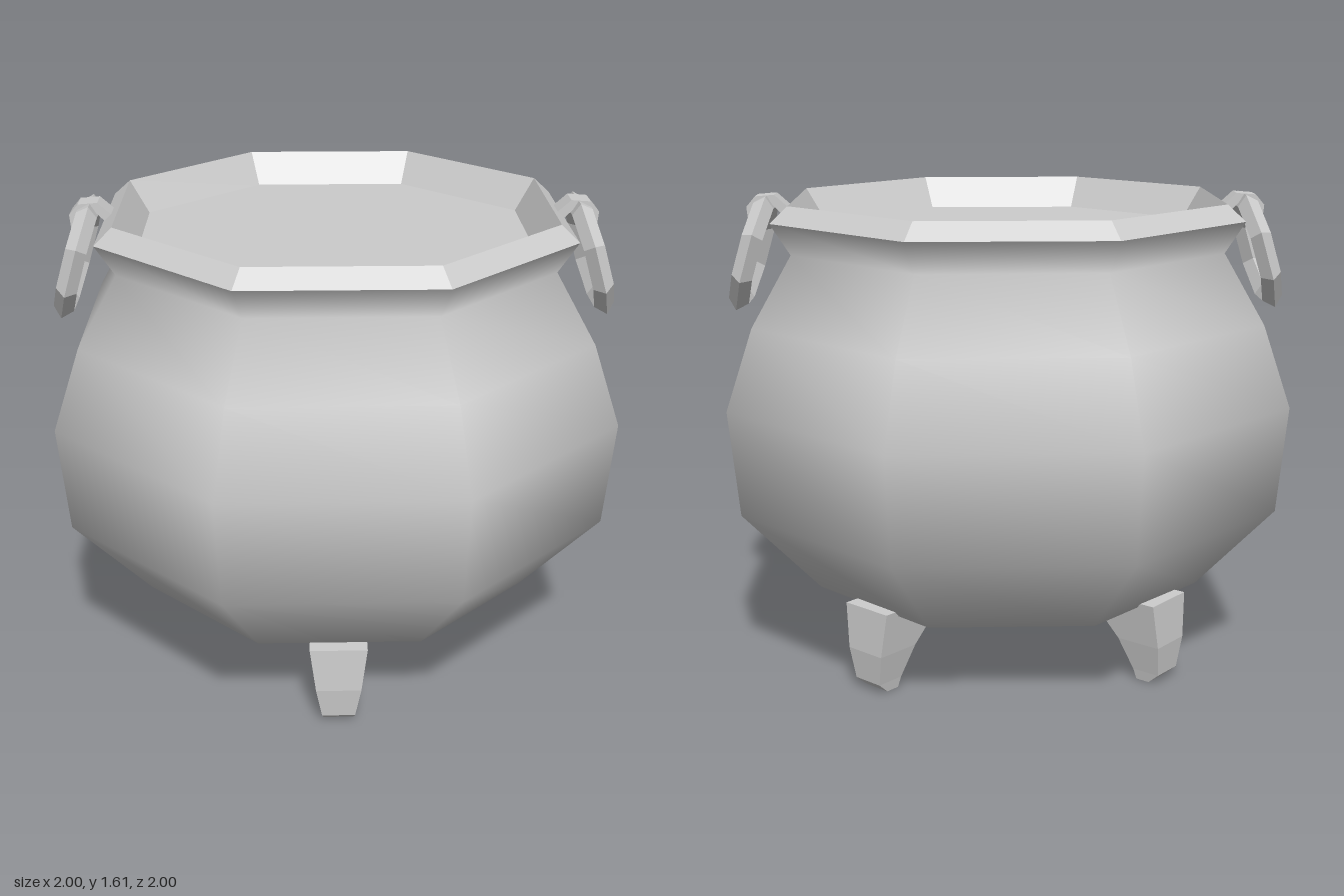
import * as THREE from 'three';

const SIDES = 8;
const smooth = new THREE.MeshStandardMaterial({ color: 0xcccccc });
const faceted = new THREE.MeshStandardMaterial({ color: 0xcccccc, flatShading: true });

function part(name, geometry, material = faceted) {
  const mesh = new THREE.Mesh(geometry, material);
  mesh.name = name;
  return mesh;
}

function lathe(points) {
  return new THREE.LatheGeometry(points.map(([r, y]) => new THREE.Vector2(r, y)), SIDES);
}

// Tapered leg from rectangular sections: [height, inner z, outer z, half width]
function legGeometry() {
  const sections = [
    [0, 0.61, 0.66, 0.05],
    [0.035, 0.6, 0.7, 0.055],
    [0.14, 0.55, 0.71, 0.075],
    [0.29, 0.42, 0.7, 0.095],
  ];
  const positions = [];
  const index = [];
  for (const [y, inner, outer, w] of sections) {
    positions.push(-w, y, outer, w, y, outer, w, y, inner, -w, y, inner);
  }
  for (let s = 0; s < sections.length - 1; s++) {
    for (let k = 0; k < 4; k++) {
      const a = s * 4 + k;
      const b = s * 4 + ((k + 1) % 4);
      index.push(a, b, b + 4, a, b + 4, a + 4);
    }
  }
  const top = (sections.length - 1) * 4;
  index.push(0, 2, 1, 0, 3, 2, top, top + 1, top + 2, top, top + 2, top + 3);
  const geometry = new THREE.BufferGeometry();
  geometry.setAttribute('position', new THREE.Float32BufferAttribute(positions, 3));
  geometry.setIndex(index);
  geometry.computeVertexNormals();
  return geometry;
}

// Bent strap that hooks over the ring; profile is [radial, height]
function strapGeometry() {
  const profile = [
    [0.72, 1.49], [0.735, 1.56], [0.785, 1.605], [0.85, 1.6], [0.88, 1.565], [0.875, 1.51],
    [0.84, 1.49], [0.85, 1.55], [0.835, 1.58], [0.8, 1.58], [0.765, 1.545], [0.76, 1.49],
  ];
  const shape = new THREE.Shape(profile.map(([r, y]) => new THREE.Vector2(r, y)));
  const width = 0.085;
  return new THREE.ExtrudeGeometry(shape, { depth: width, bevelEnabled: false })
    .translate(0, 0, -width / 2)
    .rotateY(-Math.PI / 2);
}

// Hanging ring with its strap, built facing +z
function makeHandle(name) {
  const handle = new THREE.Group();
  handle.name = name;
  const ring = part('ring', new THREE.TorusGeometry(0.182, 0.035, 4, SIDES).rotateZ(Math.PI / 8));
  ring.position.set(0, 1.41, 0.867);
  ring.rotation.x = -0.29;
  handle.add(ring, part('strap', strapGeometry()));
  return handle;
}

export function createModel() {
  const model = new THREE.Group();
  model.name = 'cauldron';

  // Pot, leaning very slightly on its legs
  const pot = new THREE.Group();
  pot.name = 'pot';
  pot.rotation.set(-0.017, 0, -0.009);
  pot.position.set(-0.008, 0, 0.014);
  model.add(pot);

  pot.add(part('body', lathe([
    [0, 0.177], [0.7, 0.282], [0.967, 0.575], [1, 0.935], [0.905, 1.205], [0.765, 1.435], [0.832, 1.54],
  ]), smooth));
  pot.add(part('rim', lathe([[0.832, 1.54], [0.77, 1.594], [0.695, 1.48]])));

  // Flat surface of the contents
  const contents = part('contents', new THREE.CircleGeometry(0.7, SIDES).rotateX(-Math.PI / 2));
  contents.position.y = 1.485;
  pot.add(contents);

  // Opposite ring handles, each centred on a facet
  ['leftHandle', 'rightHandle'].forEach((name, i) => {
    const handle = makeHandle(name);
    handle.rotation.y = THREE.MathUtils.degToRad(67.5 + 180 * i);
    pot.add(handle);
  });

  // Three legs
  const legShape = legGeometry();
  [['frontLeg', -23], ['leftLeg', 115], ['backLeg', 207]].forEach(([name, angle]) => {
    const leg = part(name, legShape);
    leg.rotation.y = THREE.MathUtils.degToRad(angle);
    model.add(leg);
  });

  return model;
}
